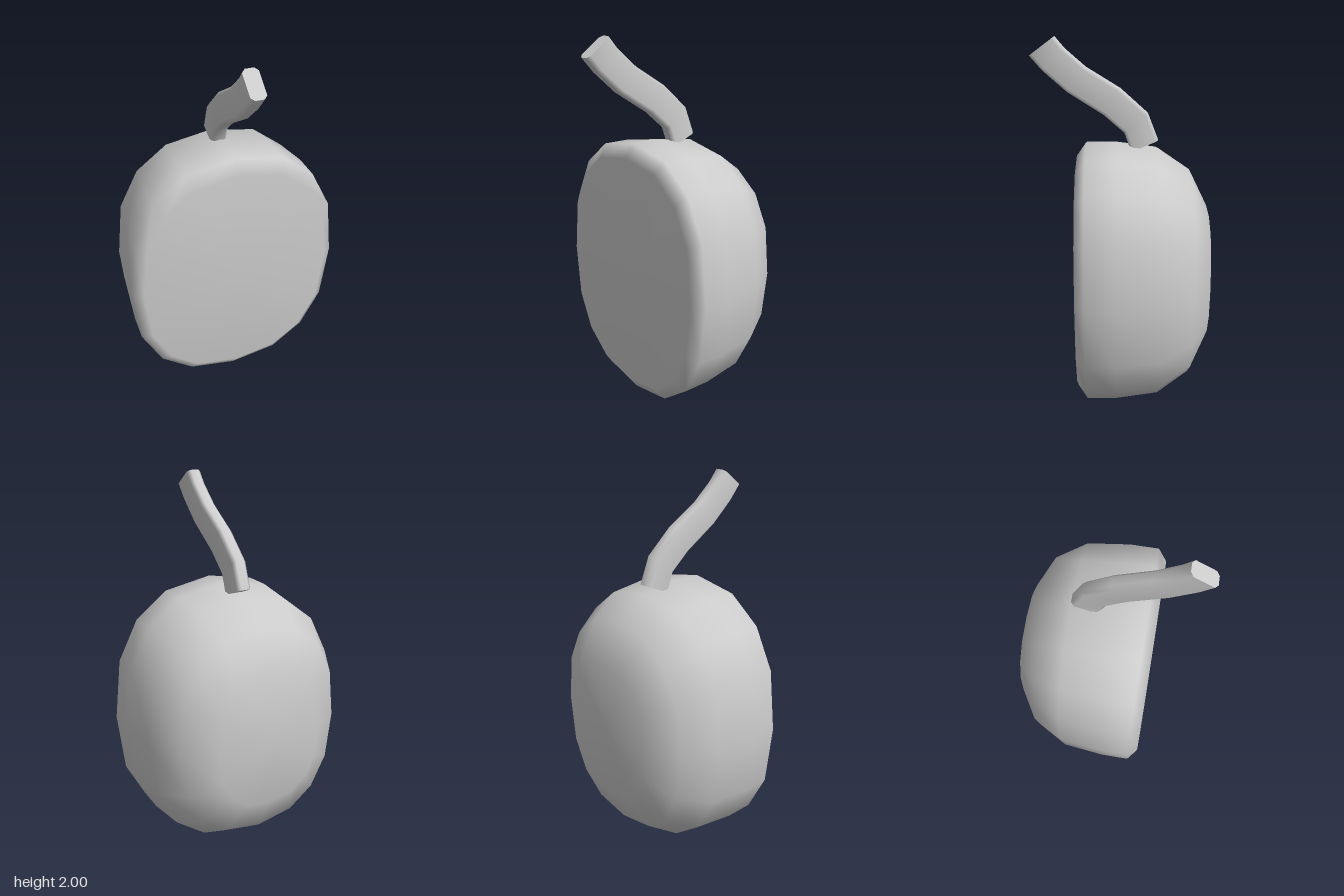
import * as THREE from 'three';

// Skin a series of closed rings, listed from front to back; caps blend in or stay sharp
function loft(rings, sharpCaps) {
  const n = rings[0].length, pos = [], index = [];
  const add = p => pos.push(p.x, p.y, p.z) / 3 - 1;
  rings.forEach(ring => ring.forEach(add));
  for (let r = 0; r < rings.length - 1; r++) {
    for (let i = 0; i < n; i++) {
      const a = r * n + i, b = r * n + (i + 1) % n;
      index.push(a, a + n, b, b, a + n, b + n);
    }
  }
  const cap = (r, flip) => {
    const ring = rings[r];
    const centre = new THREE.Vector3();
    ring.forEach(p => centre.addScaledVector(p, 1 / n));
    const c = add(centre);
    const ids = ring.map((p, i) => (sharpCaps ? add(p) : r * n + i));
    ids.forEach((id, i) => {
      const next = ids[(i + 1) % n];
      if (flip) index.push(c, next, id);
      else index.push(c, id, next);
    });
  };
  cap(0, false);
  cap(rings.length - 1, true);
  const geo = new THREE.BufferGeometry();
  geo.setAttribute('position', new THREE.Float32BufferAttribute(pos, 3));
  geo.setIndex(index);
  geo.computeVertexNormals();
  return geo;
}

export function createModel() {
  const group = new THREE.Group();
  const grey = new THREE.MeshStandardMaterial({ color: 0xcccccc });
  grey.name = 'plain grey';

  // Body: a sixteen-sided oval, bevelled at the front and rounded to the back
  const half = [[0, -0.722], [0.263, -0.675], [0.44, -0.54], [0.55, -0.325], [0.587, 0],
    [0.55, 0.325], [0.44, 0.54], [0.263, 0.675], [0, 0.722]];
  const outline = [...half, ...half.slice(1, 8).reverse().map(([x, y]) => [-x, y])];
  const sections = [[0.235, 0.9], [0.185, 1], [0.03, 1], [-0.2, 0.958], [-0.37, 0.796], [-0.47, 0.515]];
  const bodyRings = sections.map(([z, s]) =>
    outline.map(([x, y]) => new THREE.Vector3(x * s, 0.727 + y * s, z)));
  const body = new THREE.Mesh(loft(bodyRings, false), grey);
  body.name = 'body';
  group.add(body);

  // Stem: chamfered strip between a lower and an upper edge, each [z, y], from tip to base
  const edges = [
    [[0.47, 1.905], [0.34, 2.0]],
    [[0.405, 1.83], [0.29, 1.94]],
    [[0.28, 1.72], [0.18, 1.845]],
    [[0.09, 1.6], [0, 1.735]],
    [[-0.02, 1.505], [-0.145, 1.605]],
    [[-0.055, 1.405], [-0.2, 1.465]],
  ];
  const profile = [[0.04, -0.78], [0.04, 0.78], [0.022, 1], [-0.022, 1],
    [-0.04, 0.78], [-0.04, -0.78], [-0.022, -1], [0.022, -1]];
  const stemRings = edges.map(([lo, hi]) => profile.map(([x, v]) => {
    const t = (v + 1) / 2;
    return new THREE.Vector3(x, lo[1] + (hi[1] - lo[1]) * t, lo[0] + (hi[0] - lo[0]) * t);
  }));
  const stem = new THREE.Mesh(loft(stemRings, true), grey);
  stem.name = 'stem';
  group.add(stem);

  return group;
}
